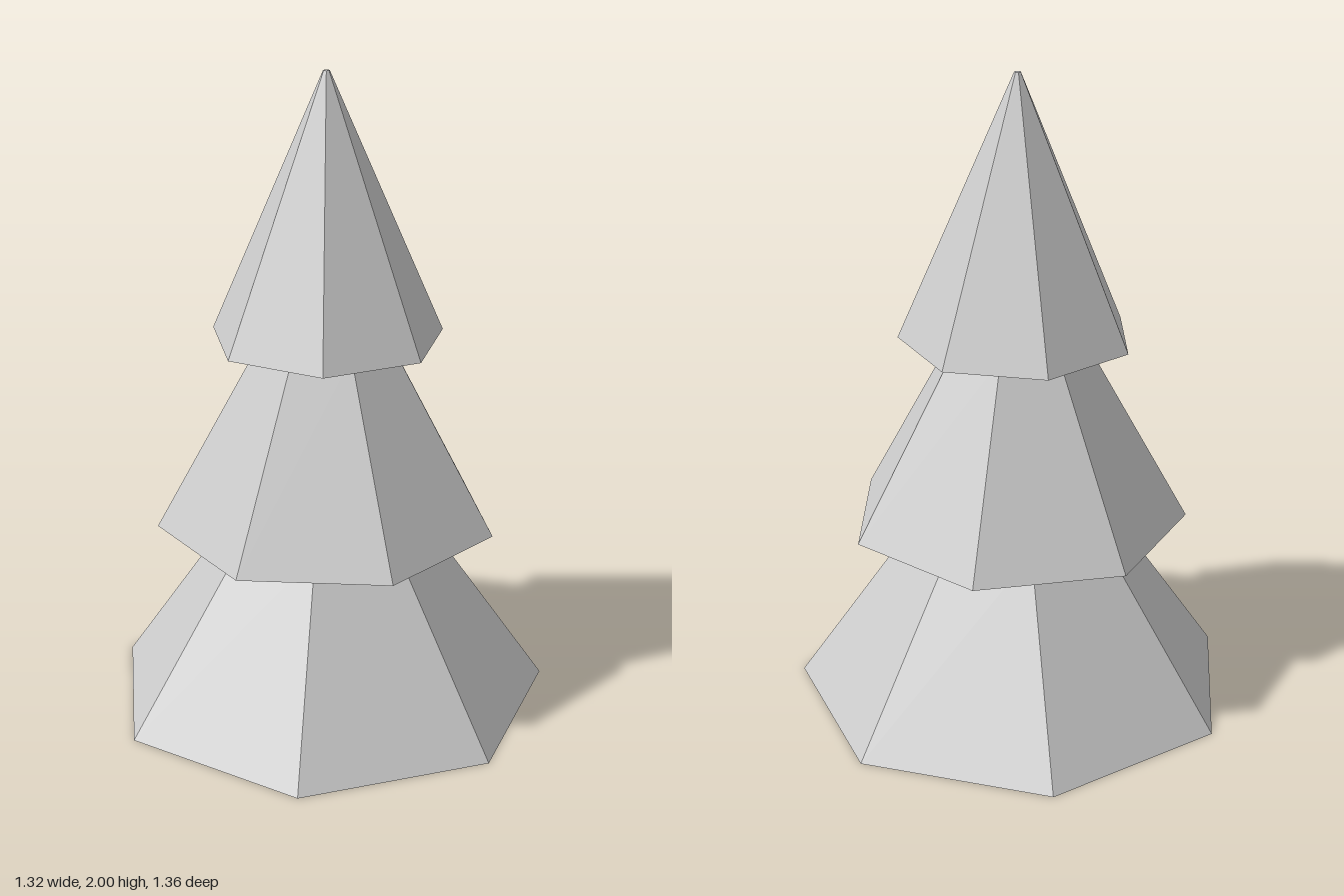
import * as THREE from 'three';

export function createModel() {
  const tree = new THREE.Group();
  tree.name = 'pineTree';
  const paleGrey = new THREE.MeshStandardMaterial({ color: 0xcccccc, flatShading: true });
  paleGrey.name = 'paleGrey';

  // Stacked seven-sided tiers: base y, top y, base radius, top radius, twist in degrees
  const tiers = [
    ['lowerBranches', 0, 0.592, 0.696, 0.29, 0],
    ['middleBranches', 0.592, 1.186, 0.53, 0.2, 23],
    ['upperBranches', 1.186, 2, 0.361, 0.01, -5.4],
  ];
  for (const [name, y0, y1, r0, r1, twist] of tiers) {
    // Corner angle is measured from +x towards +z
    const start = Math.PI / 2 - THREE.MathUtils.degToRad(twist);
    const geometry = new THREE.CylinderGeometry(r1, r0, y1 - y0, 7, 1, false, start);
    const tier = new THREE.Mesh(geometry, paleGrey);
    tier.name = name;
    tier.position.set(-0.035, (y0 + y1) / 2, 0);
    tree.add(tier);
  }
  return tree;
}
